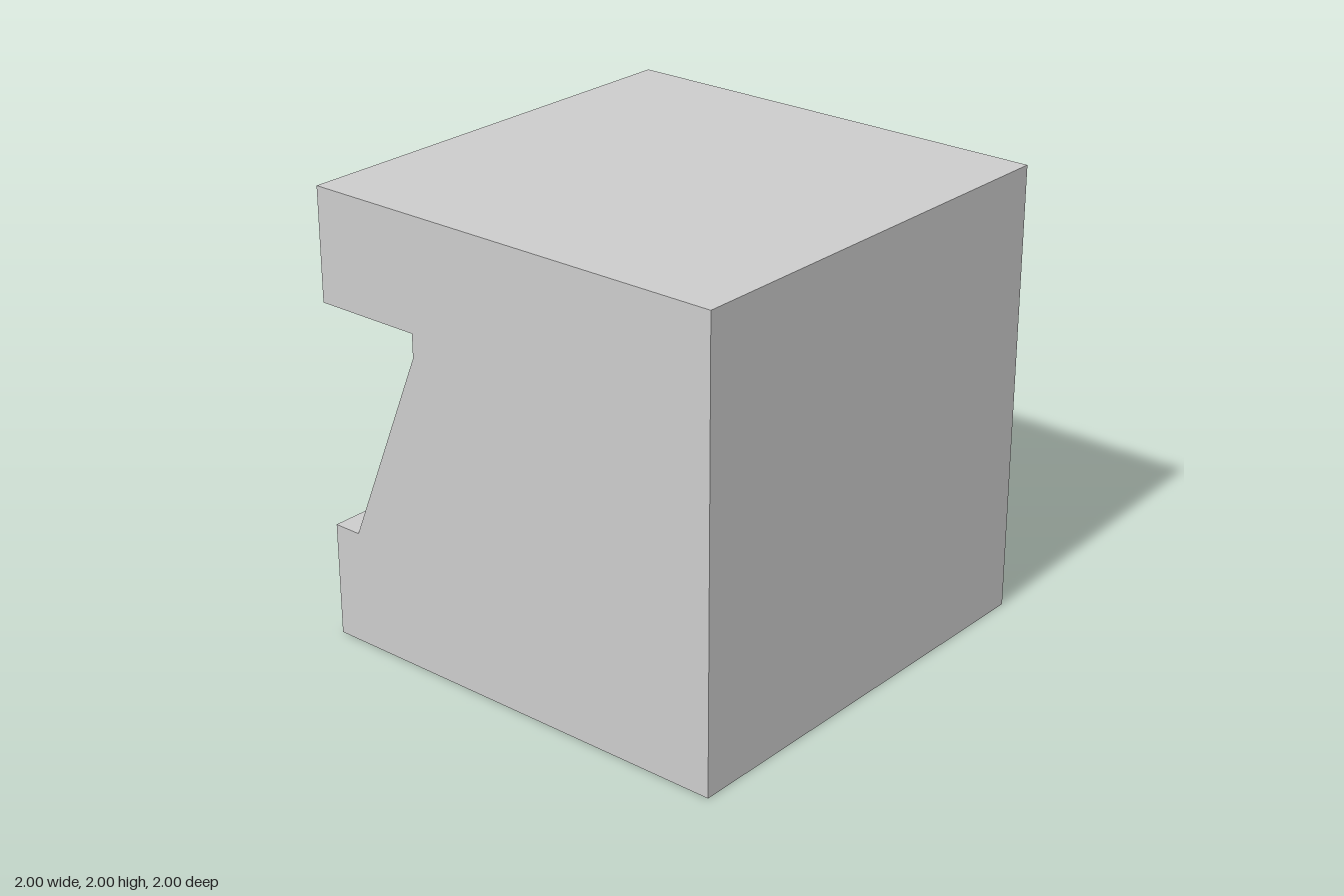
import * as THREE from 'three';

const material = new THREE.MeshStandardMaterial({ color: 0xcccccc, flatShading: true });

function part(name, shape, depth) {
  const geometry = new THREE.ExtrudeGeometry(shape, { depth, bevelEnabled: false });
  const mesh = new THREE.Mesh(geometry, material);
  mesh.name = name;
  return mesh;
}

const outline = (points) => new THREE.Shape(points.map(([a, b]) => new THREE.Vector2(a, b)));
const rect = (x0, y0, x1, y1) => [[x0, y0], [x1, y0], [x1, y1], [x0, y1]];

export function createModel() {
  const group = new THREE.Group();
  group.name = 'cabinet';

  // Main block with rear overhang and sloping back panel: side profile (z, y) swept across x
  const body = part('body', outline([
    [1, 0], [1, 2], [-1, 2], [-1, 1.505], [-0.5, 1.505],
    [-0.5, 1.4], [-0.87, 0.51], [-0.5, 0.51], [-0.5, 0],
  ]), 2);
  body.geometry.rotateY(-Math.PI / 2).translate(1, 0, 0);
  group.add(body);

  // Low rear ledge with a wide slot that ends at the main block
  const ledgeShape = outline(rect(-1, 0, 1, 0.51));
  ledgeShape.holes.push(outline(rect(-0.88, 0.125, 0.88, 0.385)));
  const ledge = part('rearLedge', ledgeShape, 0.5);
  ledge.position.z = -1;
  group.add(ledge);

  return group;
}
